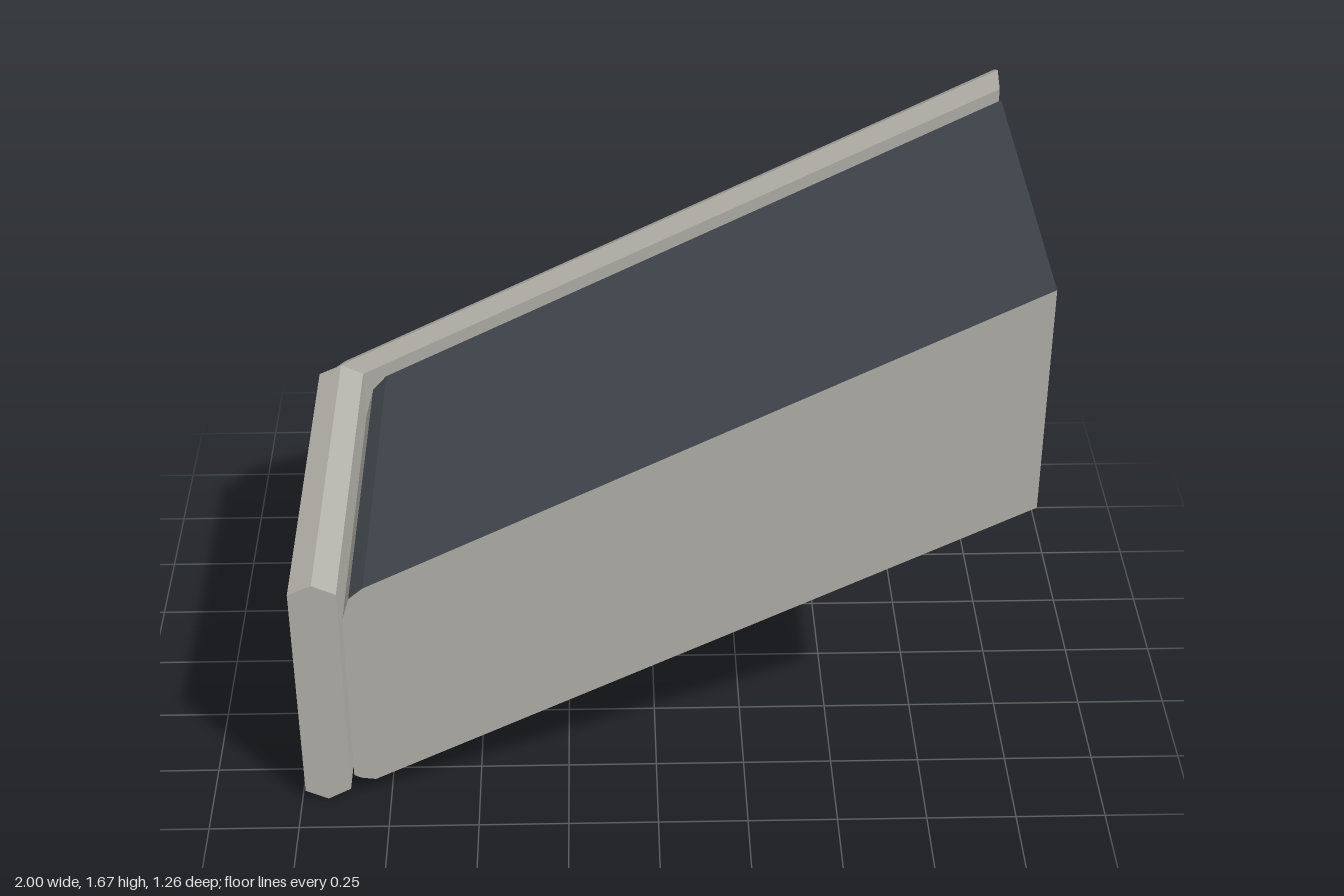
import * as THREE from 'three';

const SLOPE = 0.5;

// Skin convex [z, y] sections, listed from +x to -x, with flat faces and end caps.
// isTop(edge, span) picks the faces that take the second material.
function loft(stations, isTop = () => false) {
  const parts = [[], []];
  const at = (s, i) => [stations[s].x, stations[s].ring[i][1], stations[s].ring[i][0]];
  const n = stations[0].ring.length;
  const last = stations.length - 1;
  for (let s = 0; s < last; s++) {
    for (let i = 0; i < n; i++) {
      const j = (i + 1) % n;
      const a = at(s, i), b = at(s, j), c = at(s + 1, j), d = at(s + 1, i);
      parts[isTop(i, s) ? 1 : 0].push(...a, ...b, ...c, ...a, ...c, ...d);
    }
  }
  for (let k = 1; k < n - 1; k++) {
    parts[0].push(...at(0, 0), ...at(0, k + 1), ...at(0, k));
    parts[0].push(...at(last, 0), ...at(last, k), ...at(last, k + 1));
  }
  const geo = new THREE.BufferGeometry();
  geo.setAttribute('position', new THREE.Float32BufferAttribute([...parts[0], ...parts[1]], 3));
  geo.addGroup(0, parts[0].length / 3, 0);
  if (parts[1].length) geo.addGroup(parts[0].length / 3, parts[1].length / 3, 1);
  geo.computeVertexNormals();
  return geo;
}

// Slide a section down the slope from x = 1
const slide = (ring, x, slope = SLOPE) => ({ x, ring: ring.map(([z, y]) => [z, y - slope * (1 - x)]) });

export function createModel() {
  const stone = new THREE.MeshStandardMaterial({ color: 0xb5b3ab });
  stone.name = 'paleStone';
  const slate = new THREE.MeshStandardMaterial({ color: 0x434a50 });
  slate.name = 'darkSlate';
  const model = new THREE.Group();
  const add = (name, geo, mat) => {
    const mesh = new THREE.Mesh(geo, mat);
    mesh.name = name;
    model.add(mesh);
  };

  // Sloping block with a dark top and chamfered back and left edges
  const block = [[0.63, 1.635], [-0.45, 1.625], [-0.48, 1.55], [-0.48, 1.01], [-0.41, 0.97], [0.63, 0.97]];
  add('slopingBlock', loft([
    slide(block, 1),
    slide(block, -0.79, 0.503),
    { x: -0.83, ring: [[0.63, 0.7], [-0.43, 0.69], [-0.46, 0.63], [-0.46, 0.13], [-0.4, 0.075], [0.63, 0.075]] },
    { x: -0.85, ring: [[0.63, 0.63], [-0.38, 0.63], [-0.41, 0.58], [-0.41, 0.16], [-0.36, 0.085], [0.63, 0.085]] },
  ], (edge, span) => edge < 2 && span < 2), [stone, slate]);

  // Sloping back curb with a ridged top, bottom and left end
  const curb = [[-0.49, 1.64], [-0.552, 1.67], [-0.617, 1.64], [-0.628, 1.04], [-0.555, 1.0], [-0.487, 1.04]];
  add('backCurb', loft([
    slide(curb, 1),
    slide(curb, -0.93),
    { x: -0.97, ring: [[-0.507, 0.65], [-0.555, 0.675], [-0.605, 0.65], [-0.612, 0.08], [-0.555, 0.04], [-0.502, 0.08]] },
    { x: -1, ring: [[-0.55, 0.61], [-0.555, 0.62], [-0.56, 0.61], [-0.56, 0.11], [-0.555, 0.1], [-0.55, 0.11]] },
  ]), [stone]);

  // Upright end curb with the same ridged profile
  const profile = [[-0.99, 0.03], [-0.927, 0], [-0.862, 0.035], [-0.862, 0.715], [-0.927, 0.745], [-0.993, 0.715]];
  const shape = new THREE.Shape(profile.map(([x, y]) => new THREE.Vector2(x, y)));
  const end = new THREE.ExtrudeGeometry(shape, { depth: 1.112, bevelEnabled: false });
  end.translate(0, 0, -0.482);
  add('endCurb', end, stone);

  return model;
}
